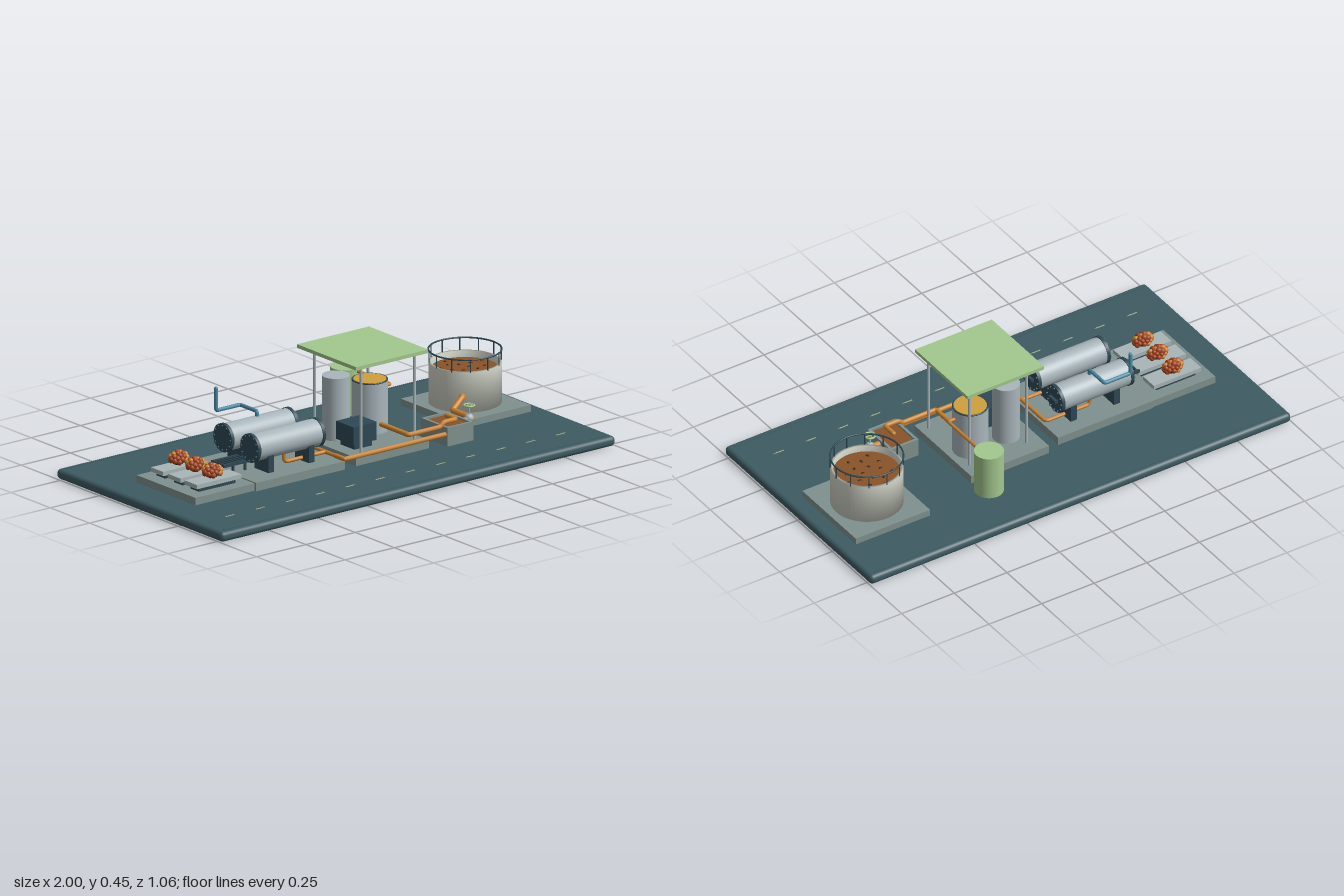
import * as THREE from 'three';
import { RoundedBoxGeometry } from 'three/addons/geometries/RoundedBoxGeometry.js';

const mat = (color, side = THREE.FrontSide) => new THREE.MeshStandardMaterial({ color, side });
const M = {
  base: mat(0x3d5a62), pad: mat(0x7f908e), tray: mat(0xa8b5b6), steel: mat(0xa9b6bb),
  dark: mat(0x2e4854), green: mat(0xa3c78e), orange: mat(0xc9822f), brown: mat(0x8a5429),
  cream: mat(0xd3d7ca, THREE.DoubleSide), teal: mat(0x4a8ba6), fruit: mat(0xa5451f),
  gold: mat(0xd0a03c), speck: mat(0x3d2413), mark: mat(0xa9b58e),
};

export function createModel() {
  const root = new THREE.Group();

  const add = (name, geo, m, x = 0, y = 0, z = 0, parent = root) => {
    const mesh = new THREE.Mesh(geo, m);
    mesh.name = name;
    mesh.position.set(x, y, z);
    parent.add(mesh);
    return mesh;
  };
  // box given by its min and max on each axis
  const box = (name, m, x0, x1, y0, y1, z0, z1) =>
    add(name, new THREE.BoxGeometry(x1 - x0, y1 - y0, z1 - z0), m, (x0 + x1) / 2, (y0 + y1) / 2, (z0 + z1) / 2);
  const cyl = (name, m, r, y0, y1, x, z, seg = 40) =>
    add(name, new THREE.CylinderGeometry(r, r, y1 - y0, seg), m, x, (y0 + y1) / 2, z);
  const cylX = (name, m, r, x0, x1, y, z, seg = 40) => {
    const c = add(name, new THREE.CylinderGeometry(r, r, x1 - x0, seg), m, (x0 + x1) / 2, y, z);
    c.rotation.z = Math.PI / 2;
    return c;
  };
  // pipe with small rounded bends through the given points
  const pipe = (name, m, r, pts, bend = 0.018) => {
    const p = pts.map((a) => new THREE.Vector3(...a));
    const path = new THREE.CurvePath();
    let from = p[0];
    for (let i = 1; i < p.length - 1; i++) {
      const a = p[i].clone().add(p[i - 1].clone().sub(p[i]).setLength(bend));
      const b = p[i].clone().add(p[i + 1].clone().sub(p[i]).setLength(bend));
      path.add(new THREE.LineCurve3(from, a));
      path.add(new THREE.QuadraticBezierCurve3(a, p[i], b));
      from = b;
    }
    path.add(new THREE.LineCurve3(from, p[p.length - 1]));
    const tube = add(name, new THREE.TubeGeometry(path, 100, r, 10), m);
    [p[0], p[p.length - 1]].forEach((e) => add(name + 'End', new THREE.SphereGeometry(r, 10, 8), m, e.x, e.y, e.z));
    return tube;
  };

  // base board, edge strips and ground arrows
  add('baseBoard', new RoundedBoxGeometry(2, 0.042, 1.06, 4, 0.018), M.base, 0, 0.021, 0);
  for (const z of [-0.505, 0.503]) box('edgeStrip', M.base, -0.97, 0.97, 0.04, 0.044, z - 0.004, z + 0.004);
  const arrow = new THREE.ConeGeometry(0.008, 0.018, 3);
  for (let i = 0; i < 12; i++) {
    const x = -0.835 + i * 0.1525;
    box('flowDash', M.mark, x - 0.024, x + 0.012, 0.041, 0.044, 0.373, 0.377);
    const head = add('flowArrow', arrow, M.mark, x + 0.018, 0.042, 0.375);
    head.rotation.z = -Math.PI / 2;
    head.scale.z = 0.2;
  }

  // concrete pads
  box('fruitPad', M.pad, -0.86, -0.56, 0.04, 0.073, -0.19, 0.185);
  box('steamPad', M.pad, -0.56, -0.11, 0.04, 0.077, -0.195, 0.195);
  box('oilPad', M.pad, -0.05, 0.32, 0.04, 0.077, -0.22, 0.19);
  box('collectionPad', M.pad, 0.575, 0.928, 0.04, 0.07, -0.31, 0.075);

  // fruit trays with bunches of round fruit
  const berry = new THREE.SphereGeometry(0.014, 10, 8);
  for (const z of [-0.11, 0, 0.105]) {
    box('trayFoot', M.dark, -0.8, -0.615, 0.073, 0.092, z - 0.028, z + 0.028);
    box('fruitTray', M.tray, -0.82, -0.595, 0.09, 0.108, z - 0.039, z + 0.039);
    const bunch = new THREE.Group();
    bunch.name = 'fruitBunch';
    bunch.position.set(-0.71, 0.108, z);
    root.add(bunch);
    add('bunchCore', new THREE.SphereGeometry(0.03, 12, 8), M.speck, 0, 0.024, 0, bunch).scale.set(1.1, 0.9, 0.7);
    for (let i = 0; i < 30; i++) {
      const h = 1 - (i + 0.5) / 30 * 1.5, a = i * 2.4, s = Math.sqrt(1 - h * h);
      const b = add('fruit', berry, i % 4 ? M.fruit : M.orange,
        Math.cos(a) * s * 0.037, 0.026 + h * 0.024, Math.sin(a) * s * 0.024, bunch);
      b.scale.setScalar(0.7 + 0.25 * ((i * 7) % 5) / 4);
    }
  }

  // roller conveyor between trays and vessels
  for (const z of [-0.037, 0.037]) box('conveyorRail', M.dark, -0.6, -0.47, 0.107, 0.12, z - 0.004, z + 0.004);
  for (let i = 0; i < 7; i++) {
    const r = cyl('conveyorRoller', M.dark, 0.006, -0.037, 0.037, -0.59 + i * 0.019, 0, 10);
    r.rotation.x = Math.PI / 2;
    r.position.set(-0.59 + i * 0.019, 0.114, 0);
  }
  for (const x of [-0.55, -0.49]) for (const z of [-0.035, 0.035]) box('conveyorLeg', M.dark, x - 0.004, x + 0.004, 0.07, 0.11, z - 0.004, z + 0.004);

  // horizontal steam vessels on saddles
  for (const z of [-0.088, 0.083]) {
    const y = 0.182;
    cylX('steamVessel', M.steel, 0.056, -0.5, -0.17, y, z);
    for (const x of [-0.498, -0.17]) {
      cylX('vesselDoor', M.dark, 0.059, x - 0.007, x + 0.007, y, z);
      const dir = x < -0.3 ? -1 : 1;
      for (let i = 0; i < 12; i++) {
        const a = i * Math.PI / 6;
        const bx = x + dir * 0.008;
        cylX('doorBolt', M.dark, 0.004, bx - 0.005, bx + 0.005, y + Math.cos(a) * 0.051, z + Math.sin(a) * 0.051, 8);
      }
    }
    box('doorHandle', M.dark, -0.165, -0.15, y - 0.006, y + 0.006, z - 0.025, z + 0.025);
    for (const x of [-0.43, -0.225]) box('vesselSaddle', M.dark, x - 0.014, x + 0.014, 0.077, 0.15, z - 0.045, z + 0.045);
    // drain line running to the front of the site
    pipe('drainPipe', M.orange, 0.008, [[-0.33, 0.14, z], [-0.33, 0.09, z], [-0.12, 0.09, z], [-0.12, 0.09, 0.206]]);
  }
  pipe('condensatePipe', M.orange, 0.01, [[-0.12, 0.09, 0.15], [-0.12, 0.09, 0.206], [0.43, 0.09, 0.206], [0.43, 0.09, 0.19]], 0.01);
  pipe('steamPipe', M.teal, 0.008, [[-0.33, 0.22, -0.088], [-0.33, 0.258, -0.088], [-0.33, 0.258, -0.196], [-0.452, 0.258, -0.196], [-0.452, 0.35, -0.196]], 0.01);

  // oil processing shelter
  box('shelterRoof', M.green, -0.045, 0.32, 0.438, 0.453, -0.192, 0.185);
  for (const x of [0.012, 0.283]) for (const z of [-0.151, 0.144]) cyl('shelterPost', M.steel, 0.006, 0.077, 0.44, x, z, 12);
  cyl('digester', M.steel, 0.056, 0.077, 0.337, 0.055, -0.069);
  box('press', M.dark, -0.003, 0.115, 0.1, 0.175, 0.005, 0.115);
  box('pressBase', M.dark, 0.01, 0.1, 0.077, 0.1, 0.015, 0.105);
  cyl('clarifier', M.steel, 0.072, 0.077, 0.287, 0.22, -0.061);
  cyl('clarifierOil', M.gold, 0.066, 0.28, 0.291, 0.22, -0.061);
  const lip = add('clarifierRim', new THREE.TorusGeometry(0.07, 0.003, 8, 40), M.dark, 0.22, 0.288, -0.061);
  lip.rotation.x = Math.PI / 2;

  // oil storage tank and its feed
  cyl('oilTank', M.green, 0.06, 0.068, 0.259, 0.303, -0.322);
  pipe('oilPipe', M.orange, 0.007, [[0.27, 0.247, -0.057], [0.322, 0.247, -0.057], [0.322, 0.247, -0.29]], 0.01);

  // sludge pit: four walls around brown liquid
  box('pitBody', M.pad, 0.39, 0.522, 0.04, 0.105, 0.053, 0.22);
  for (const x of [0.39, 0.51]) box('pitWall', M.pad, x, x + 0.012, 0.105, 0.12, 0.053, 0.22);
  for (const z of [0.053, 0.208]) box('pitWall', M.pad, 0.4, 0.512, 0.105, 0.12, z, z + 0.012);
  box('pitLiquid', M.brown, 0.401, 0.511, 0.1, 0.112, 0.064, 0.209);
  pipe('sludgePipe', M.orange, 0.01, [[0.22, 0.117, 0], [0.22, 0.117, 0.185], [0.38, 0.117, 0.185], [0.4, 0.134, 0.185], [0.462, 0.134, 0.185], [0.462, 0.134, 0.125]], 0.01);

  // transfer pipe with hand valve
  pipe('transferPipe', M.orange, 0.013, [[0.515, 0.1, 0.137], [0.583, 0.1, 0.137], [0.583, 0.1, 0.01], [0.645, 0.14, -0.005], [0.67, 0.14, -0.04]], 0.01);
  add('valveBody', new THREE.SphereGeometry(0.019, 16, 12), M.tray, 0.566, 0.105, 0.137);
  cyl('valveStem', M.tray, 0.004, 0.11, 0.158, 0.566, 0.137, 10);
  const wheel = add('valveWheel', new THREE.TorusGeometry(0.021, 0.004, 8, 24), M.green, 0.566, 0.158, 0.137);
  wheel.rotation.x = Math.PI / 2;
  box('valveSpoke', M.green, 0.545, 0.587, 0.156, 0.16, 0.135, 0.139);
  box('valveSpoke', M.green, 0.564, 0.568, 0.156, 0.16, 0.116, 0.158);

  // open collection tank with liquid and guard rail
  const tank = new THREE.Group();
  tank.name = 'collectionTank';
  tank.position.set(0.75, 0, -0.12);
  root.add(tank);
  const profile = [[0, 0.072], [0.146, 0.072], [0.146, 0.24], [0.135, 0.24], [0.135, 0.19]].map((a) => new THREE.Vector2(...a));
  add('tankWall', new THREE.LatheGeometry(profile, 56), M.cream, 0, 0, 0, tank);
  add('tankLiquid', new THREE.CylinderGeometry(0.136, 0.136, 0.01, 48), M.brown, 0, 0.208, 0, tank);
  for (let i = 0; i < 16; i++) {
    const a = i * 2.4, r = 0.028 * Math.sqrt(i + 0.5);
    const s = add('floatingSolid', new THREE.SphereGeometry(0.007, 8, 6), M.speck, Math.cos(a) * r, 0.213, Math.sin(a) * r, tank);
    s.scale.set(1.3, 0.4, 0.8);
    s.rotation.y = a;
  }
  const rail = add('guardRail', new THREE.TorusGeometry(0.146, 0.0035, 8, 56), M.dark, 0, 0.291, 0, tank);
  rail.rotation.x = Math.PI / 2;
  for (let i = 0; i < 12; i++) {
    const a = i * Math.PI / 6;
    add('railPost', new THREE.CylinderGeometry(0.0025, 0.0025, 0.055, 8), M.dark, Math.cos(a) * 0.145, 0.264, Math.sin(a) * 0.145, tank);
  }
  return root;
}
